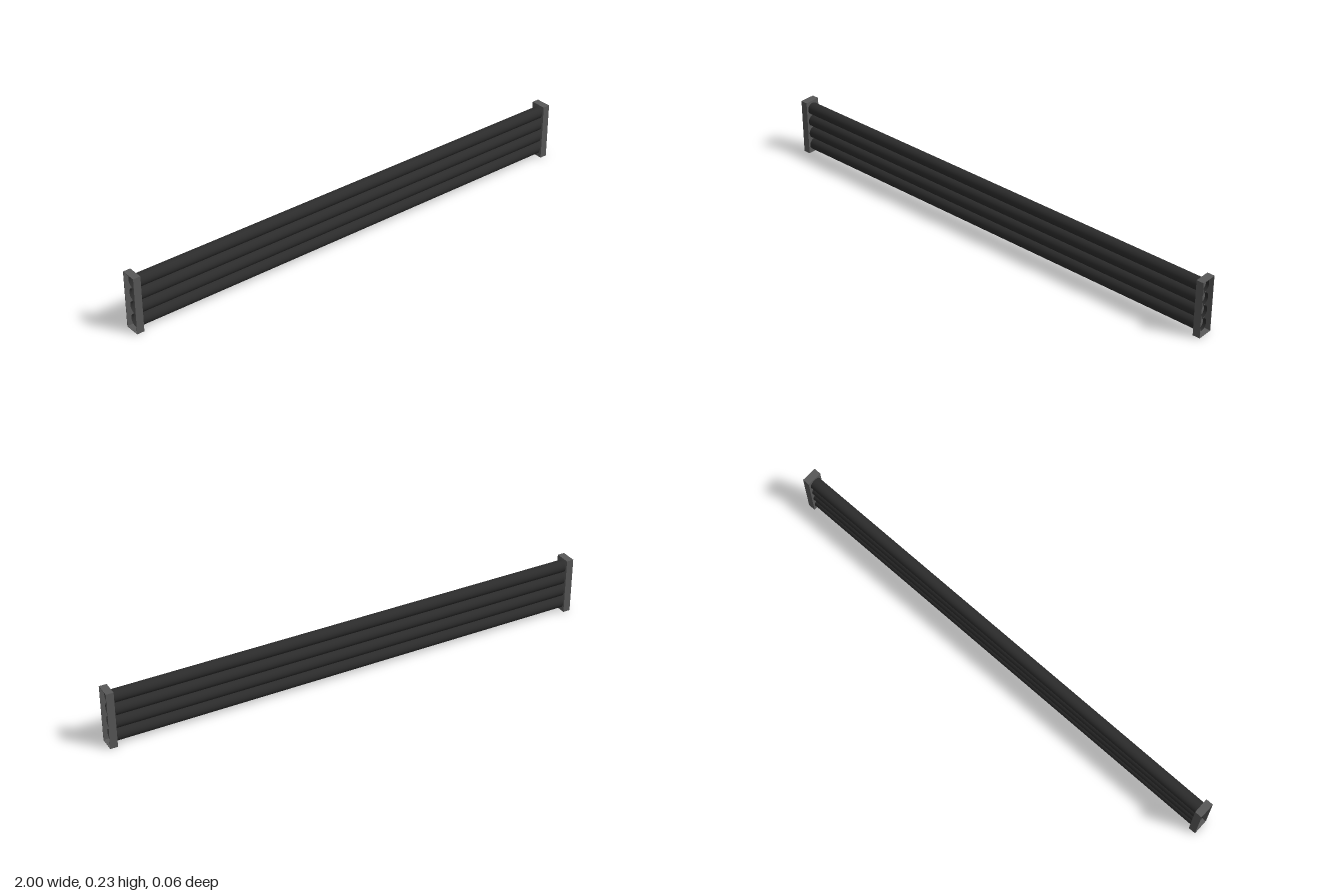
import * as THREE from 'three';

const H = 0.233, D = 0.064, W = 0.03, T = 0.002; // end tray height, depth, width, sheet thickness

export function createModel() {
  const group = new THREE.Group();
  const trayMat = new THREE.MeshStandardMaterial({ color: 0x585858 });
  const tubeMat = new THREE.MeshStandardMaterial({ color: 0x2c2c2c, side: THREE.DoubleSide });

  // four open-ended horizontal tubes
  const tubeGeo = new THREE.CylinderGeometry(0.025, 0.025, 1.97, 32, 1, true);
  tubeGeo.rotateZ(Math.PI / 2);
  for (let i = 0; i < 4; i++) {
    const tube = new THREE.Mesh(tubeGeo, tubeMat);
    tube.name = 'tube';
    tube.position.y = H / 2 + (i - 1.5) * 0.0545;
    group.add(tube);
  }

  // shallow sheet trays at both ends, open on the outside
  for (const side of [1, -1]) {
    const tray = new THREE.Group();
    tray.name = side > 0 ? 'leftEndTray' : 'rightEndTray';
    const panel = (name, w, h, d, x, y, z) => {
      const mesh = new THREE.Mesh(new THREE.BoxGeometry(w, h, d), trayMat);
      mesh.name = name;
      mesh.position.set(x, y, z);
      tray.add(mesh);
    };
    const x = side * (1 - W / 2);
    panel('innerPlate', T, H, D, side * (1 - W + T / 2), H / 2, 0);
    for (const s of [1, -1]) {
      panel('sideFlange', W, H, T, x, H / 2, s * (D - T) / 2);
      panel('endFlange', W, T, D, x, H / 2 + s * (H - T) / 2, 0);
    }
    group.add(tray);
  }
  return group;
}
